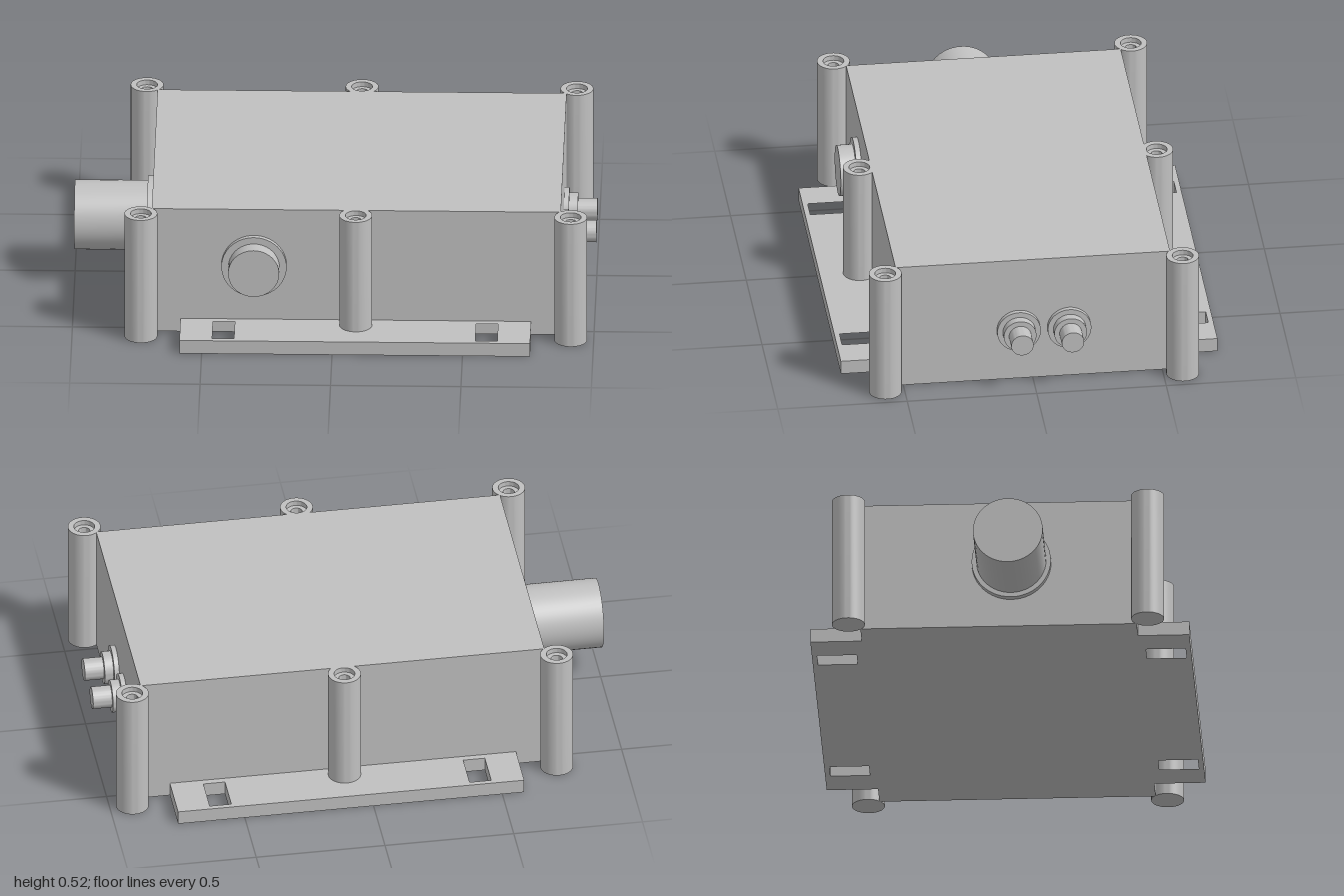
import * as THREE from 'three';
import { toCreasedNormals } from 'three/addons/utils/BufferGeometryUtils.js';

export function createModel() {
  const model = new THREE.Group();
  model.name = 'enclosure';
  const grey = new THREE.MeshStandardMaterial({ name: 'grey metal', color: 0xc0c0c0 });

  function add(name, geometry, x, y, z) {
    const mesh = new THREE.Mesh(geometry, grey);
    mesh.name = name;
    mesh.position.set(x, y, z);
    model.add(mesh);
    return mesh;
  }

  // Solid of revolution from [radius, height] pairs, with sharp steps
  function turned(profile) {
    const points = profile.map(([r, h]) => new THREE.Vector2(r, h));
    return toCreasedNormals(new THREE.LatheGeometry(points, 48), 0.6);
  }

  // Main box
  const height = 0.52;
  add('body', new THREE.BoxGeometry(1.568, height, 1.06), 0.089, height / 2, 0);

  // Mounting flanges with two slots each, front and back
  const flangeHeight = 0.055;
  for (const side of [1, -1]) {
    const rect = (Type, x0, x1, z0, z1) => {
      // Shape y becomes -z once the plate is laid flat
      const a = -side * z0, b = -side * z1;
      return new Type([[x0, a], [x1, a], [x1, b], [x0, b]].map(p => new THREE.Vector2(...p)));
    };
    const plate = rect(THREE.Shape, -0.585, 0.759, 0.53, 0.727);
    for (const x of [-0.418, 0.591]) {
      plate.holes.push(rect(THREE.Path, x - 0.042, x + 0.042, 0.555, 0.707));
    }
    const geometry = new THREE.ExtrudeGeometry(plate, { depth: flangeHeight, bevelEnabled: false });
    geometry.rotateX(-Math.PI / 2);
    add(side > 0 ? 'frontFlange' : 'backFlange', geometry, 0, 0, 0);
  }

  // Screw posts with a stepped recess; the middle ones stand on the flanges
  for (const side of [1, -1]) {
    for (const x of [-0.736, 0.088, 0.912]) {
      const base = x === 0.088 ? flangeHeight : 0;
      add('screwPost', turned([
        [0, base], [0.063, base], [0.063, height], [0.04, height],
        [0.04, height - 0.02], [0.022, height - 0.02], [0.022, height - 0.045], [0, height - 0.045],
      ]), x, 0, side * 0.574);
    }
  }

  // Large connector on the right side (-x)
  add('largeConnector', turned([
    [0, 0], [0.152, 0], [0.152, 0.026], [0.134, 0.026], [0.134, 0.306], [0, 0.306],
  ]), -0.694, 0.264, 0.05).rotation.z = Math.PI / 2;

  // Round port on the front
  add('frontPort', turned([
    [0, 0], [0.125, 0], [0.125, 0.02], [0.098, 0.02], [0.098, 0.08], [0, 0.08],
  ]), -0.303, 0.285, 0.53).rotation.x = Math.PI / 2;

  // Two small stepped connectors on the left side (+x)
  for (const z of [0.055, -0.14]) {
    add('smallConnector', turned([
      [0, 0], [0.084, 0], [0.084, 0.019], [0.063, 0.019], [0.063, 0.053],
      [0.043, 0.053], [0.043, 0.127], [0, 0.127],
    ]), 0.873, 0.215, z).rotation.z = -Math.PI / 2;
  }

  return model;
}
